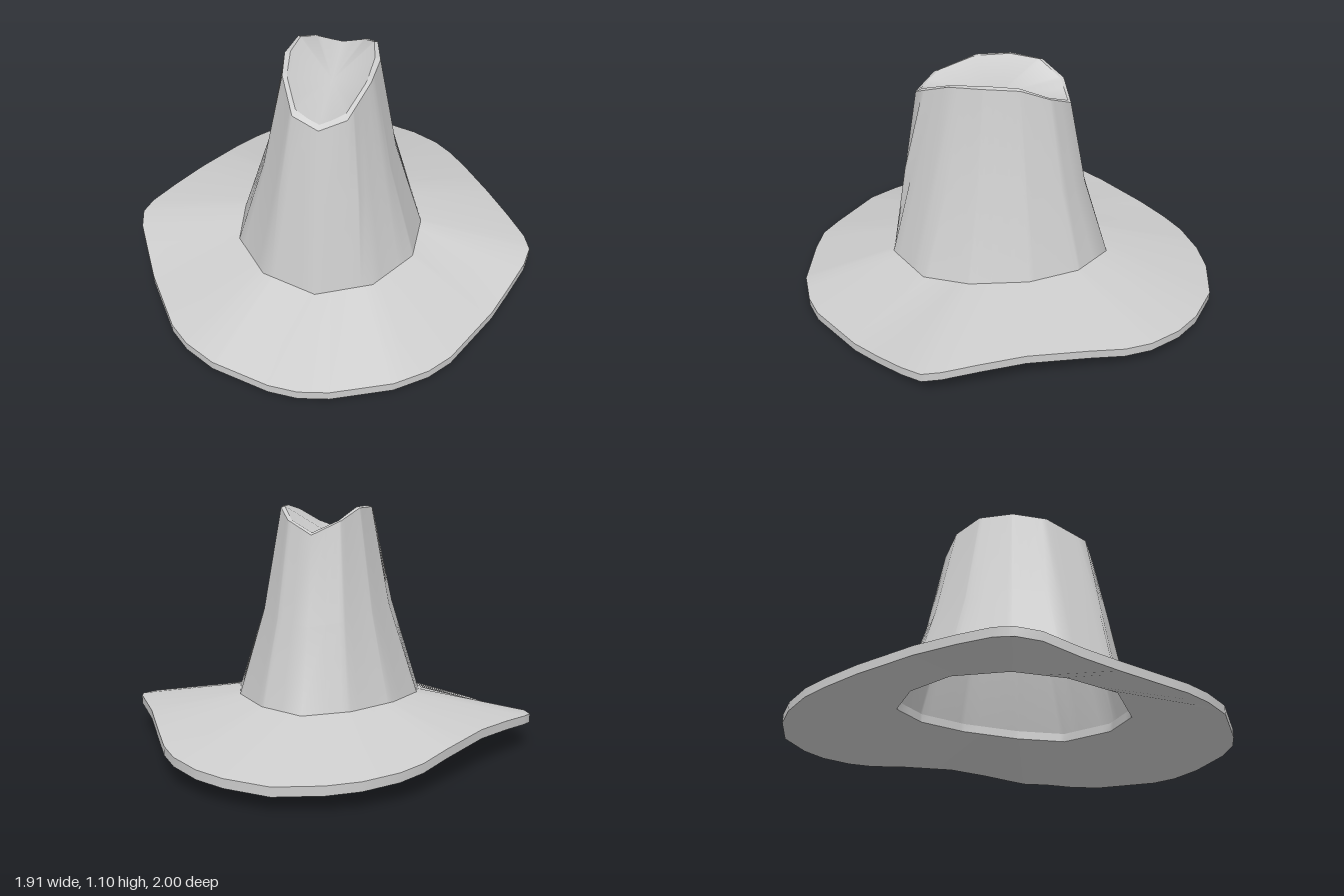
import * as THREE from 'three';

// Half outlines [x, y, z] from back to front; the other half is mirrored.
const BRIM_EDGE = [[0, .105, -1], [.2, .11, -.96], [.33, .115, -.9], [.46, .125, -.8], [.54, .135, -.7], [.62, .155, -.56],
  [.75, .175, -.32], [.85, .17, -.15], [.93, .16, -.01], [.955, .15, .07], [.93, .14, .17], [.86, .105, .31],
  [.79, .08, .45], [.62, .055, .72], [.53, .05, .81], [.39, .05, .9], [.13, .04, .98], [0, .045, 1]];
const BASE = [[0, .24, -.5], [.2, .247, -.41], [.355, .25, -.22], [.43, .235, .04], [.41, .21, .27], [.25, .205, .485], [0, .185, .565]];
const WAIST = [[0, .6, -.38], [.145, .62, -.32], [.25, .64, -.17], [.295, .65, .035], [.28, .64, .24], [.17, .63, .435], [0, .63, .485]];
const RIM = [[0, .99, -.3], [.12, 1.05, -.235], [.18, 1.1, -.12], [.21, 1.1, .04], [.19, 1.08, .2], [.115, 1, .385], [0, .96, .42]];
const RIM_INNER = [[0, 1, -.285], [.105, 1.05, -.225], [.165, 1.105, -.11], [.185, 1.105, .035], [.17, 1.08, .2], [.1, 1.01, .37], [0, .975, .395]];
const CENTRE_Z = 0.03;

const angleOf = ([x, , z]) => Math.atan2(x, CENTRE_Z - z);

// Shared angles so that every outline keeps its own corners
const halfAngles = [...new Set([BRIM_EDGE, BASE, WAIST, RIM].flat().map(p => +angleOf(p).toFixed(3)))].sort((a, b) => a - b);
const angles = halfAngles.filter((a, i) => i === 0 || a - halfAngles[i - 1] > 0.015);
angles[angles.length - 1] = Math.PI;

// Point where a ray from the centre meets a half outline
function sample(outline, a) {
  if (a === 0) return outline[0];
  if (a === Math.PI) return outline[outline.length - 1];
  let i = 0;
  while (i < outline.length - 2 && angleOf(outline[i + 1]) < a) i++;
  const p = outline[i], q = outline[i + 1];
  const side = ([x, , z]) => -x * Math.cos(a) - (z - CENTRE_Z) * Math.sin(a);
  const t = side(p) / (side(p) - side(q));
  return p.map((v, k) => v + (q[k] - v) * t);
}

// Closed ring from a half outline, optionally lowered
function ring(outline, dy = 0) {
  const half = angles.map(a => sample(outline, a));
  const mirrored = half.slice(1, -1).reverse().map(([x, y, z]) => [-x, y, z]);
  return [...half, ...mirrored].map(([x, y, z]) => [x, y + dy, z]);
}

// Smooth skin through successive rings
function loft(rings) {
  const n = rings[0].length, index = [];
  for (let r = 0; r < rings.length - 1; r++) {
    for (let i = 0; i < n; i++) {
      const a = r * n + i, a1 = r * n + (i + 1) % n, b = a + n, b1 = a1 + n;
      index.push(a, b, a1, a1, b, b1);
    }
  }
  const g = new THREE.BufferGeometry();
  g.setAttribute('position', new THREE.Float32BufferAttribute(rings.flat(2), 3));
  g.setIndex(index);
  g.computeVertexNormals();
  return g;
}

// Dished cap: a fan from the rim to one sunken point
function fan(edge, centre) {
  const n = edge.length, index = [];
  for (let i = 0; i < n; i++) index.push(i, n, (i + 1) % n);
  const g = new THREE.BufferGeometry();
  g.setAttribute('position', new THREE.Float32BufferAttribute([...edge, centre].flat(), 3));
  g.setIndex(index);
  g.computeVertexNormals();
  return g;
}

export function createModel() {
  const group = new THREE.Group();
  group.name = 'hat';
  const felt = new THREE.MeshStandardMaterial({ color: 0xcccccc, side: THREE.DoubleSide });
  felt.name = 'grey felt';
  const add = (name, geometry) => {
    const mesh = new THREE.Mesh(geometry, felt);
    mesh.name = name;
    group.add(mesh);
  };

  const thickness = 0.04;
  const outer = ring(BRIM_EDGE), outerLow = ring(BRIM_EDGE, -thickness);
  const base = ring(BASE), baseLow = ring(BASE, -thickness);
  const rim = ring(RIM), rimInner = ring(RIM_INNER);

  // Brim
  add('brimTop', loft([outer, base]));
  add('brimEdge', loft([outerLow, outer]));
  add('brimUnderside', loft([baseLow, outerLow]));
  add('brimOpening', loft([base, baseLow]));

  // Crown
  add('crownWall', loft([base, ring(WAIST), rim]));
  add('crownRim', loft([rim, rimInner]));
  add('crownTop', fan(rimInner, [0, 0.98, 0.04]));

  return group;
}
